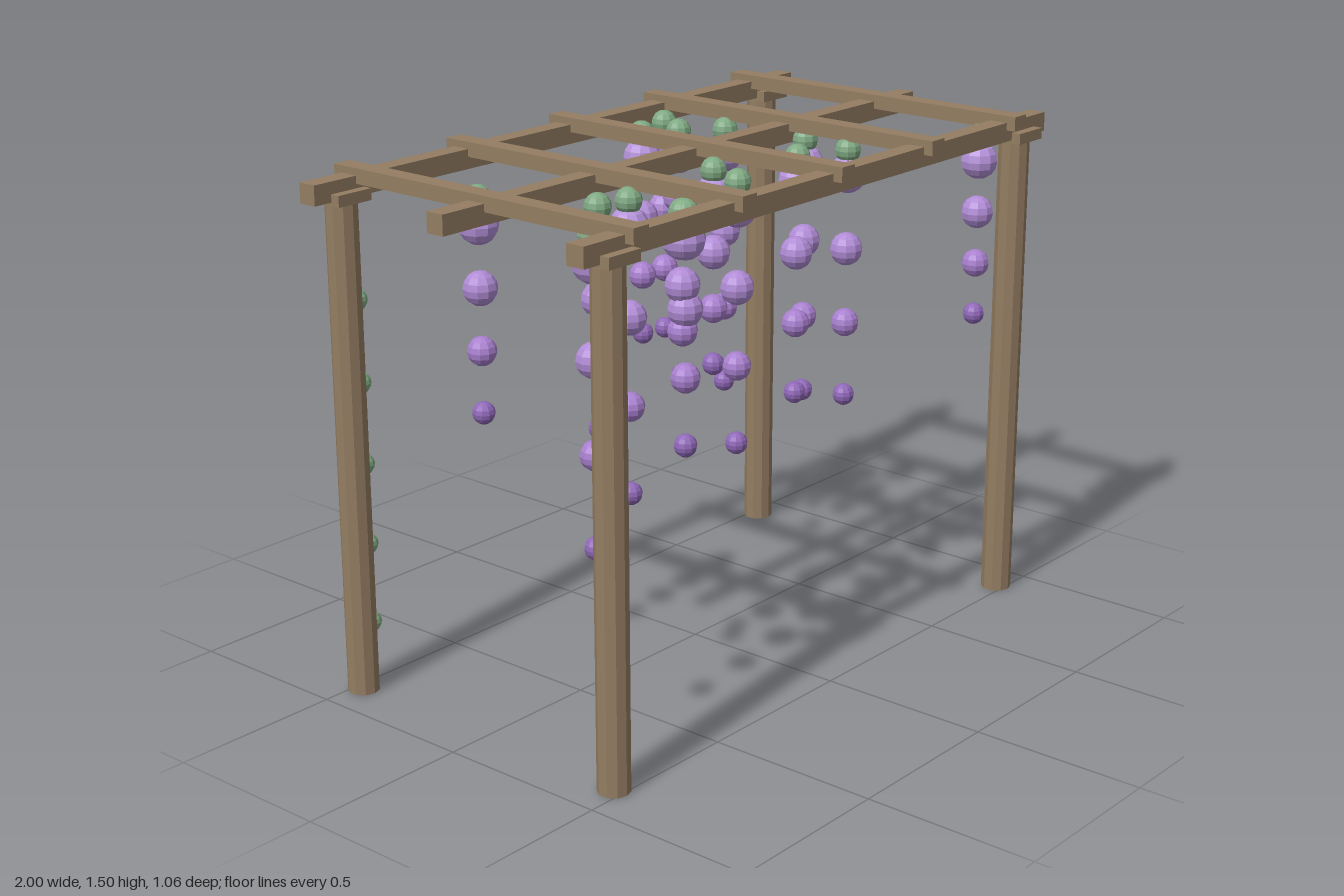
import * as THREE from 'three';

const mat = (color) => new THREE.MeshStandardMaterial({ color, flatShading: true });

export function createModel() {
  const model = new THREE.Group();
  const wood = mat(0x947d62);
  const leaf = mat(0x7fa983);
  const petals = [mat(0xb592da), mat(0xb18cd6), mat(0xa980cf), mat(0x9068b8)];

  const add = (parent, name, geometry, material, x, y, z) => {
    const mesh = new THREE.Mesh(geometry, material);
    mesh.name = name;
    mesh.position.set(x, y, z);
    parent.add(mesh);
    return mesh;
  };
  const ball = (r) => new THREE.SphereGeometry(r, 10, 8);

  // Four round posts with square caps
  const postX = 0.885, sideZ = 0.472;
  const postGeo = new THREE.CylinderGeometry(0.045, 0.045, 1.42, 10);
  const capGeo = new THREE.BoxGeometry(0.115, 0.032, 0.112);
  for (const sx of [-1, 1]) {
    for (const sz of [-1, 1]) {
      add(model, 'post', postGeo, wood, sx * postX, 0.71, sz * sideZ);
      add(model, 'postCap', capGeo, wood, sx * postX, 1.425, sz * sideZ);
    }
  }

  // Long beams, with rafters notched across them
  const beamGeo = new THREE.BoxGeometry(2, 0.056, 0.056);
  for (const z of [-sideZ, 0, sideZ]) add(model, 'beam', beamGeo, wood, 0, 1.447, z);
  const rafterGeo = new THREE.BoxGeometry(0.056, 0.042, 1.056);
  for (let i = -2; i <= 2; i++) add(model, 'rafter', rafterGeo, wood, i * 0.413, 1.474, 0);

  // Hanging blossom strands: x, z, spacing between blossoms
  const strands = [
    [-0.68, -0.17, 0.174], [-0.545, 0.13, 0.178], [-0.445, 0.148, 0.248],
    [-0.765, 0.312, 0.254], [-0.447, 0.343, 0.187], [-0.45, 0.336, 0.123],
    [-0.037, 0.097, 0.162], [-0.102, 0.235, 0.224], [0.24, 0.172, 0.208],
    [0.403, 0.227, 0.22], [0.43, 0.053, 0.23], [0.385, -0.21, 0.235],
    [0.28, -0.3, 0.125], [0.19, -0.365, 0.18], [0.345, -0.412, 0.189],
    [0.79, 0.415, 0.155],
  ];
  const blossomGeos = [0.055, 0.048, 0.041, 0.032].map(ball);
  const budGeo = ball(0.038);
  for (const [x, z, step] of strands) {
    const strand = new THREE.Group();
    strand.name = 'blossomStrand';
    strand.position.set(x, 1.355, z);
    add(strand, 'leafBud', budGeo, leaf, 0, 0.07, 0);
    blossomGeos.forEach((geo, i) => add(strand, 'blossom', geo, petals[i], 0, -i * step, 0));
    model.add(strand);
  }

  // Leaves climbing the back right post
  const vineGeo = ball(0.032);
  for (let i = 0; i < 5; i++) add(model, 'vineLeaf', vineGeo, leaf, -0.826, 0.18 + i * 0.235, -0.498);

  return model;
}
